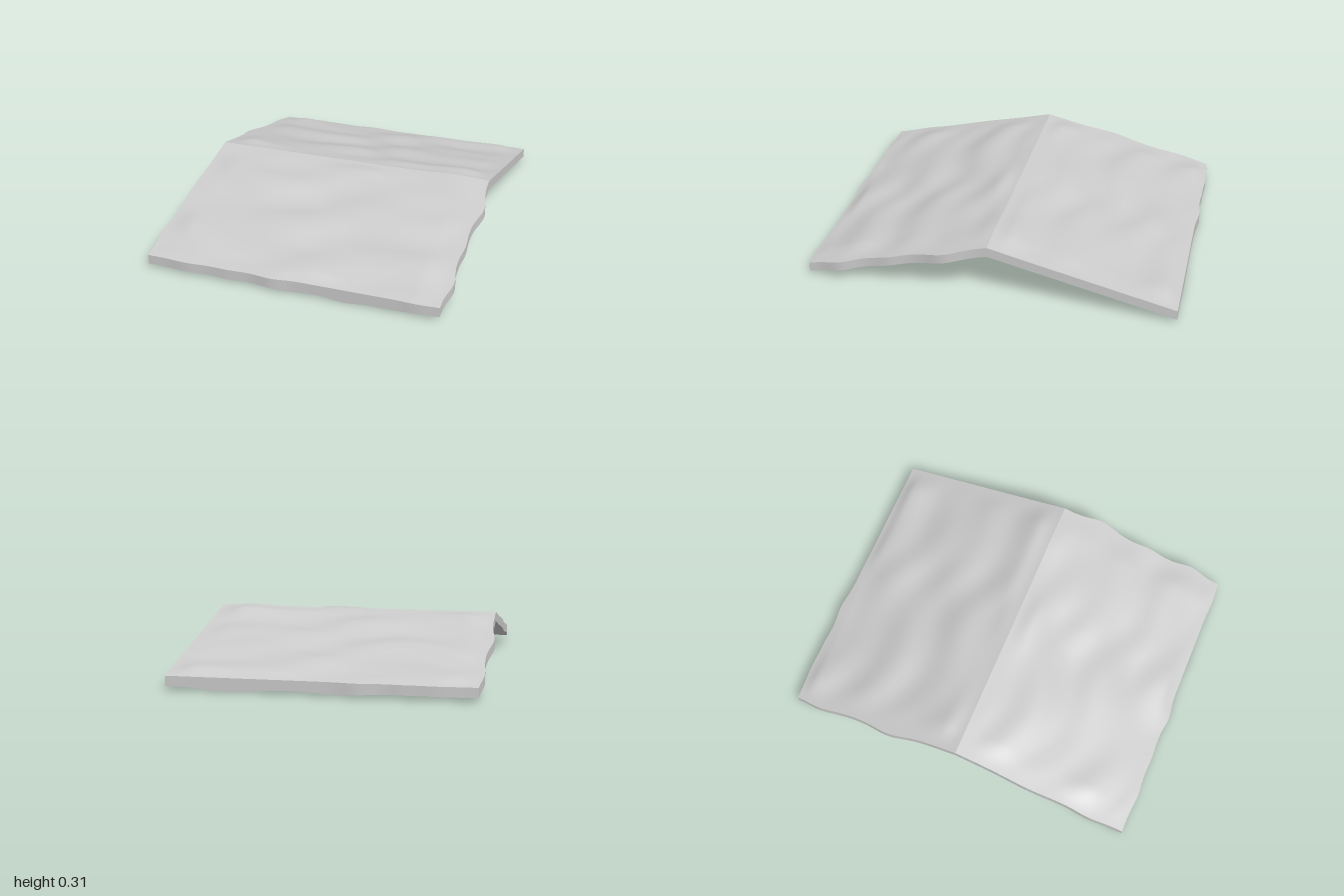
import * as THREE from 'three';

const RIDGE_Y = 0.305, EAVE_Y = 0.073, THICK = 0.051;
const X_MIN = -0.795, X_MAX = 0.78;

// Sum of smooth bumps, each [centre, width, height]
const bumps = (v, list) =>
  list.reduce((s, [c, w, h]) => s + h * Math.exp(-(((v - c) / w) ** 2)), 0);

// Worn outlines of the four edges
const leftEdge = [[-0.4, 0.12, 0.024], [-0.83, 0.11, 0.014], [0.42, 0.15, 0.008], [0.78, 0.09, 0.01]];
const rightEdge = [[0.23, 0.1, 0.031], [0.53, 0.07, 0.01], [0.8, 0.08, 0.023]];
const backEdge = [[-0.6, 0.12, 0.015], [-0.2, 0.09, 0.014], [-0.42, 0.06, 0.006]];
const frontEdge = [[-0.58, 0.09, 0.016], [-0.1, 0.08, 0.015], [-0.35, 0.08, 0.007], [0.68, 0.08, 0.013]];

// Sagging spots along the underside of the eaves
const frontSag = [[0.28, 0.1, 0.014], [0, 0.12, 0.009], [0.5, 0.14, 0.009], [-0.3, 0.1, 0.004]];
const backSag = [[0.45, 0.18, 0.013], [-0.1, 0.15, 0.009]];

// Slanted swells over the upper face, fading out at its borders
function swell(x, z, t, u) {
  const fade = (d, w) => THREE.MathUtils.smoothstep(d, 0, w);
  const mask = fade(t, 0.12) * fade(1 - t, 0.07) * fade(u, 0.1) * fade(1 - u, 0.1);
  const wave = 0.5 * Math.sin(15 * z + 4 * x + 1.2 * Math.sin(5 * x))
    + 0.3 * Math.sin(9 * x - 7 * z + 1) + 0.35 * Math.sin(23 * z - 5 * x + Math.sin(8 * x + 2));
  return mask * (0.009 + 0.013 * wave);
}

// One slope: a finely divided slab, bent and worn by rule
function slope(name, dir) {
  const box = new THREE.BoxGeometry(1, 1, 1, 80, 1, 56);
  const pos = box.attributes.position;
  const length = dir > 0 ? 0.978 : 0.985;
  for (let i = 0; i < pos.count; i++) {
    const u = pos.getX(i) + 0.5;
    const top = pos.getY(i) > 0;
    const t = dir > 0 ? pos.getZ(i) + 0.5 : 0.5 - pos.getZ(i);
    let x = THREE.MathUtils.lerp(X_MIN, X_MAX, u);
    let z = dir * t * length;
    let y = THREE.MathUtils.lerp(RIDGE_Y, EAVE_Y, t);
    const alongFade = Math.sin(Math.PI * u) ** 0.5 || 0;
    if (top) {
      y += swell(x, z, t, u);
      y += 0.011 * Math.exp(-(((x - 0.58) / 0.15) ** 2) - (((t - 0.02) / 0.12) ** 2));
    } else {
      y -= THICK + t ** 12 * bumps(x, dir > 0 ? frontSag : backSag) * 1.3;
    }
    const outZ = t ** 16 * alongFade * bumps(x, dir > 0 ? frontEdge : backEdge);
    const outX = u ** 16 * bumps(z, rightEdge) * (dir > 0 ? Math.min(1, t * 12) : 0)
      - (1 - u) ** 16 * bumps(z, leftEdge);
    x += outX * Math.min(1, (1 - t) * 12);
    z += dir * outZ;
    pos.setXYZ(i, x, y, z);
  }
  // Leave out the hidden end where the slopes meet
  const hidden = box.groups[dir > 0 ? 5 : 4];
  const index = Array.from(box.index.array);
  index.splice(hidden.start, hidden.count);
  box.setIndex(index);
  box.clearGroups();
  box.computeVertexNormals();
  const mesh = new THREE.Mesh(box, new THREE.MeshStandardMaterial({ color: 0xcccccc }));
  mesh.name = name;
  return mesh;
}

export function createModel() {
  const roof = new THREE.Group();
  roof.name = 'roof';
  roof.add(slope('frontSlope', 1), slope('backSlope', -1));
  return roof;
}
